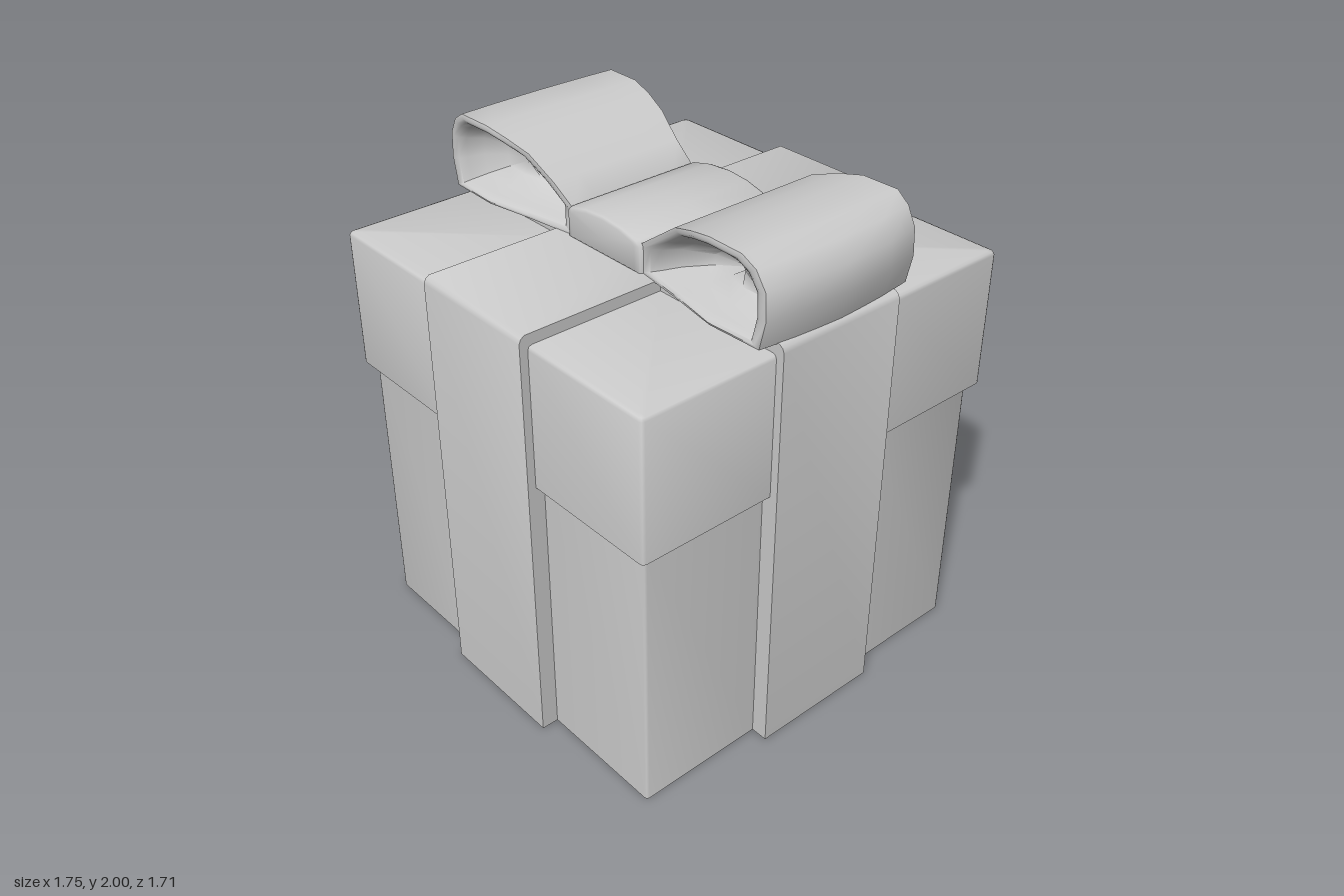
import * as THREE from 'three';
import { toCreasedNormals } from 'three/addons/utils/BufferGeometryUtils.js';

const material = new THREE.MeshStandardMaterial({ color: 0xcccccc, side: THREE.DoubleSide });
const RIBBON = 0.27; // half width of the ribbon

// Skin a list of cross-sections (each a list of [x, y, z]) with quads.
function loft(name, rows, closed = false, crease = 0.6) {
  const n = rows[0].length;
  const index = [];
  for (let r = 0; r < rows.length - 1; r++) {
    for (let c = 0; c < (closed ? n : n - 1); c++) {
      const a = r * n + c, b = r * n + (c + 1) % n;
      index.push(a, b, a + n, b, b + n, a + n);
    }
  }
  const geometry = new THREE.BufferGeometry();
  geometry.setAttribute('position', new THREE.Float32BufferAttribute(rows.flat(2), 3));
  geometry.setIndex(index);
  const mesh = new THREE.Mesh(toCreasedNormals(geometry, crease), material);
  mesh.name = name;
  return mesh;
}

// Corner wall between two ribbons; profile lists [distance from centre, height].
function corner(name, profile, bevel) {
  return loft(name, profile.map(([d, y]) => {
    const b = Math.min(bevel, d - RIBBON);
    return [[RIBBON, y, d], [d - b, y, d], [d - b * 0.3, y, d - b * 0.3], [d, y, d - b], [d, y, RIBBON]];
  }), false, 0.9);
}

// Channel-shaped ribbon running up one side, over the lid and down the other.
function ribbon(name) {
  const half = [[0.857, 0], [0.857, 1.668], [0.85, 1.685], [0.835, 1.695]];
  const inner = [[0.785, 0], [0.785, 1.64], [0.785, 1.64], [0.785, 1.64]];
  const mirror = (list) => [...list, ...list.map(([z, y]) => [-z, y]).reverse()];
  const inside = mirror(inner);
  return loft(name, mirror(half).map(([z, y], i) => {
    const [zi, yi] = inside[i];
    return [[-RIBBON, yi, zi], [-RIBBON, y, z], [RIBBON, y, z], [RIBBON, yi, zi]];
  }));
}

// Cushion-like bow part: an outline in x and y, repeated across its width in z.
// Steps are [fraction of half width, scale of the outline].
function bowPart(name, outline, centre, steps, halfWidth) {
  const rows = steps.map(([t, s]) => outline.map(([x, y]) => {
    const px = x - Math.max(0, (x - 0.7) / 0.175) * 0.035 * t * t;
    return [centre[0] + (px - centre[0]) * s, centre[1] + (y - centre[1]) * s, t * halfWidth(x)];
  }));
  return loft(name, rows, true, 1.0);
}

const mirrorSteps = (steps) => [...steps, [0, 1], ...steps.map(([t, s]) => [-t, s]).reverse()];

export function createModel() {
  const model = new THREE.Group();

  // Hollow box and lid, one quarter at a time
  for (let i = 0; i < 4; i++) {
    const quarter = new THREE.Group();
    quarter.name = 'boxCorner';
    quarter.add(corner('boxWall', [[0.79, 0], [0.79, 1.1]], 0.012));
    quarter.add(corner('lid', [
      [0.79, 1.1], [0.825, 1.1], [0.825, 1.635], [0.82, 1.647], [0.808, 1.652], [RIBBON, 1.652],
    ], 0.015));
    quarter.rotation.y = i * Math.PI / 2;
    model.add(quarter);
  }

  // Crossed ribbons
  model.add(ribbon('lengthRibbon'));
  const cross = ribbon('crossRibbon');
  cross.rotation.y = Math.PI / 2;
  model.add(cross);

  // Bow loops with hollowed ends
  const loopOutline = [
    [0.17, 1.79], [0.28, 1.868], [0.39, 1.945], [0.49, 1.978], [0.59, 2], [0.75, 2], [0.82, 1.965],
    [0.868, 1.9], [0.875, 1.8], [0.845, 1.692], [0.6, 1.692], [0.39, 1.692], [0.17, 1.692],
  ];
  const loopSteps = mirrorSteps([
    [0.5, 0], [0.55, 0.4], [0.72, 0.66], [0.9, 0.78], [0.98, 0.85], [1, 0.92], [0.985, 1], [0.6, 1],
  ]);
  const loopWidth = (x) => 0.285 + 0.072 * THREE.MathUtils.smoothstep(x, 0.17, 0.65)
    - 0.012 * THREE.MathUtils.smoothstep(x, 0.75, 0.875);
  for (const side of [1, -1]) {
    const outline = loopOutline;
    const loop = bowPart(side > 0 ? 'leftBowLoop' : 'rightBowLoop', outline, [0.58, 1.82], loopSteps, loopWidth);
    if (side < 0) loop.rotation.y = Math.PI;
    model.add(loop);
  }

  // Knot between the loops
  const knotOutline = [
    [0.2, 1.692], [0.2, 1.795], [0.18, 1.812], [0.1, 1.832], [0, 1.84],
    [-0.1, 1.832], [-0.18, 1.812], [-0.2, 1.795], [-0.2, 1.692],
  ];
  const knotSteps = mirrorSteps([[1, 0], [1, 0.85], [0.985, 0.96], [0.95, 1]]);
  model.add(bowPart('bowKnot', knotOutline, [0, 1.75], knotSteps, () => 0.3));

  return model;
}
